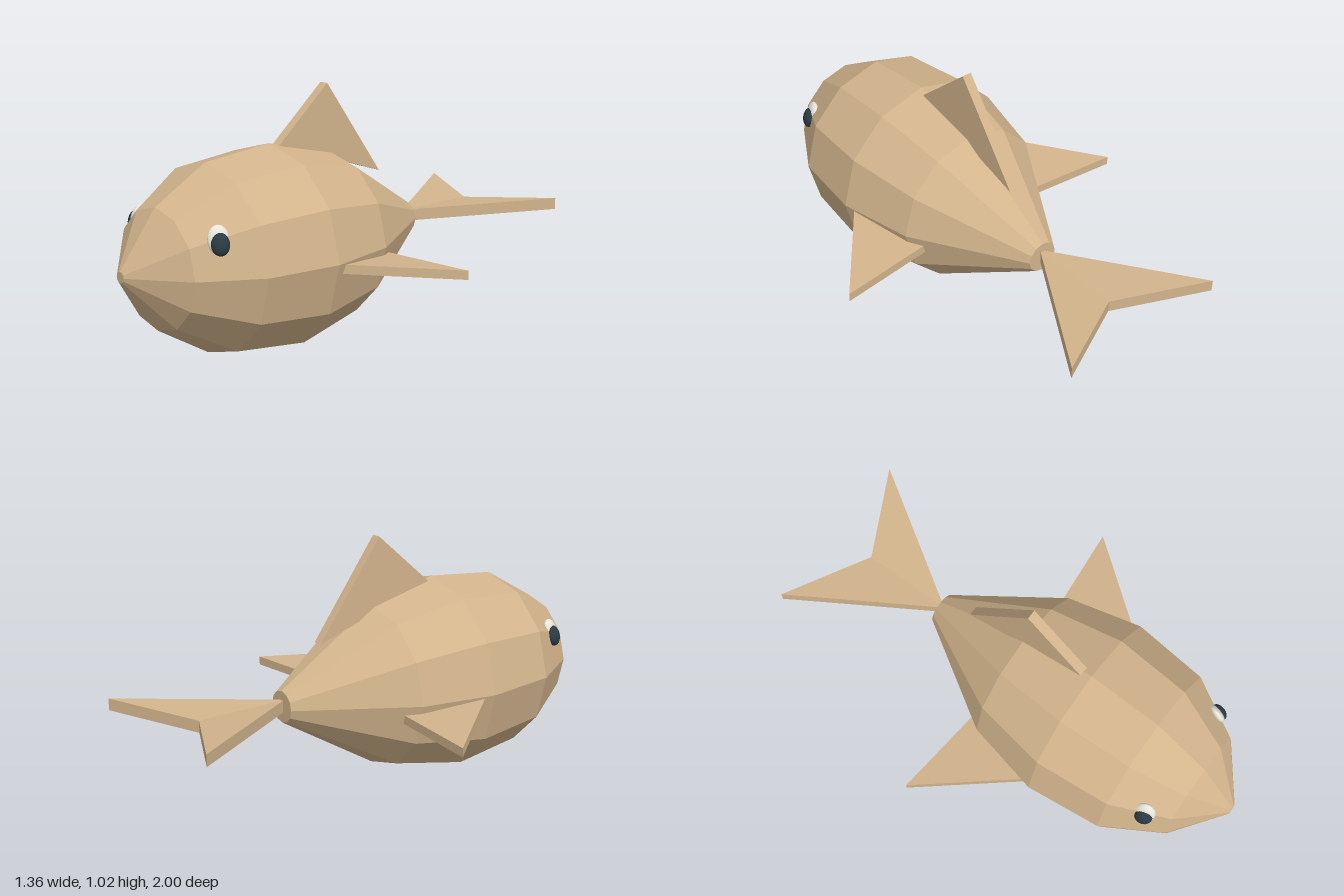
import * as THREE from 'three';

const V = (x, y, z) => new THREE.Vector3(x, y, z);
const skin = new THREE.MeshStandardMaterial({ color: 0xd2b48c, flatShading: true });
const eyeWhite = new THREE.MeshStandardMaterial({ color: 0xe8e6da });
const eyeDark = new THREE.MeshStandardMaterial({ color: 0x2b3a42 });

// Solid plate: outline runs counter-clockwise seen from the tip of `axis`, fanned from its first point
function plate(name, outline, axis, thickness) {
  const half = axis.clone().multiplyScalar(thickness / 2);
  const top = outline.map(p => p.clone().add(half));
  const bottom = outline.map(p => p.clone().sub(half));
  const n = outline.length;
  const tris = [];
  for (let i = 1; i < n - 1; i++) {
    tris.push(top[0], top[i], top[i + 1], bottom[0], bottom[i + 1], bottom[i]);
  }
  for (let i = 0; i < n; i++) {
    const j = (i + 1) % n;
    tris.push(bottom[i], bottom[j], top[j], bottom[i], top[j], top[i]);
  }
  const geometry = new THREE.BufferGeometry().setFromPoints(tris);
  geometry.computeVertexNormals();
  const mesh = new THREE.Mesh(geometry, skin);
  mesh.name = name;
  return mesh;
}

// Flattened ball facing along `normal`
function eyePart(name, position, normal, radii, material) {
  const mesh = new THREE.Mesh(new THREE.SphereGeometry(1, 20, 14), material);
  mesh.name = name;
  mesh.scale.set(...radii);
  mesh.position.copy(position);
  mesh.lookAt(position.clone().add(normal));
  return mesh;
}

export function createModel() {
  const model = new THREE.Group();
  model.name = 'fish';

  // Twelve-sided body turned around the z axis, tail to nose
  const profile = [
    [0, -0.445], [0.065, -0.445], [0.335, -0.01], [0.404, 0.3],
    [0.37, 0.61], [0.235, 0.84], [0.022, 1], [0, 1],
  ].map(([r, z]) => new THREE.Vector2(r, z));
  const body = new THREE.Mesh(new THREE.LatheGeometry(profile, 12).rotateX(Math.PI / 2), skin);
  body.name = 'body';
  body.position.y = 0.408;
  model.add(body);

  // Fin on the back
  model.add(plate('dorsalFin',
    [V(0, 0.8, 0.265), V(0, 0.632, -0.272), V(0, 1.02, 0.015)], V(1, 0, 0), 0.04));

  // Forked horizontal tail with slightly raised tips
  model.add(plate('tailFin',
    [V(0, 0.41, -0.43), V(0.36, 0.436, -1), V(0, 0.41, -0.815), V(-0.36, 0.436, -1)],
    V(0, 1, 0), 0.048));

  // Mirrored side fins and eyes
  for (const [side, s] of [['left', 1], ['right', -1]]) {
    const outline = [V(s * 0.385, 0.382, 0.265), V(s * 0.68, 0.35, -0.105), V(s * 0.28, 0.353, -0.065)];
    if (s < 0) outline.reverse();
    model.add(plate(side + 'SideFin', outline, V(0, 1, 0), 0.036));

    const eye = new THREE.Group();
    eye.name = side + 'Eye';
    const normal = V(s * 0.92, 0.27, 0.28);
    eye.add(
      eyePart('eyeWhite', V(s * 0.247, 0.55, 0.742), normal, [0.043, 0.055, 0.02], eyeWhite),
      eyePart('pupil', V(s * 0.262, 0.537, 0.746), normal, [0.036, 0.043, 0.024], eyeDark),
    );
    model.add(eye);
  }
  return model;
}
